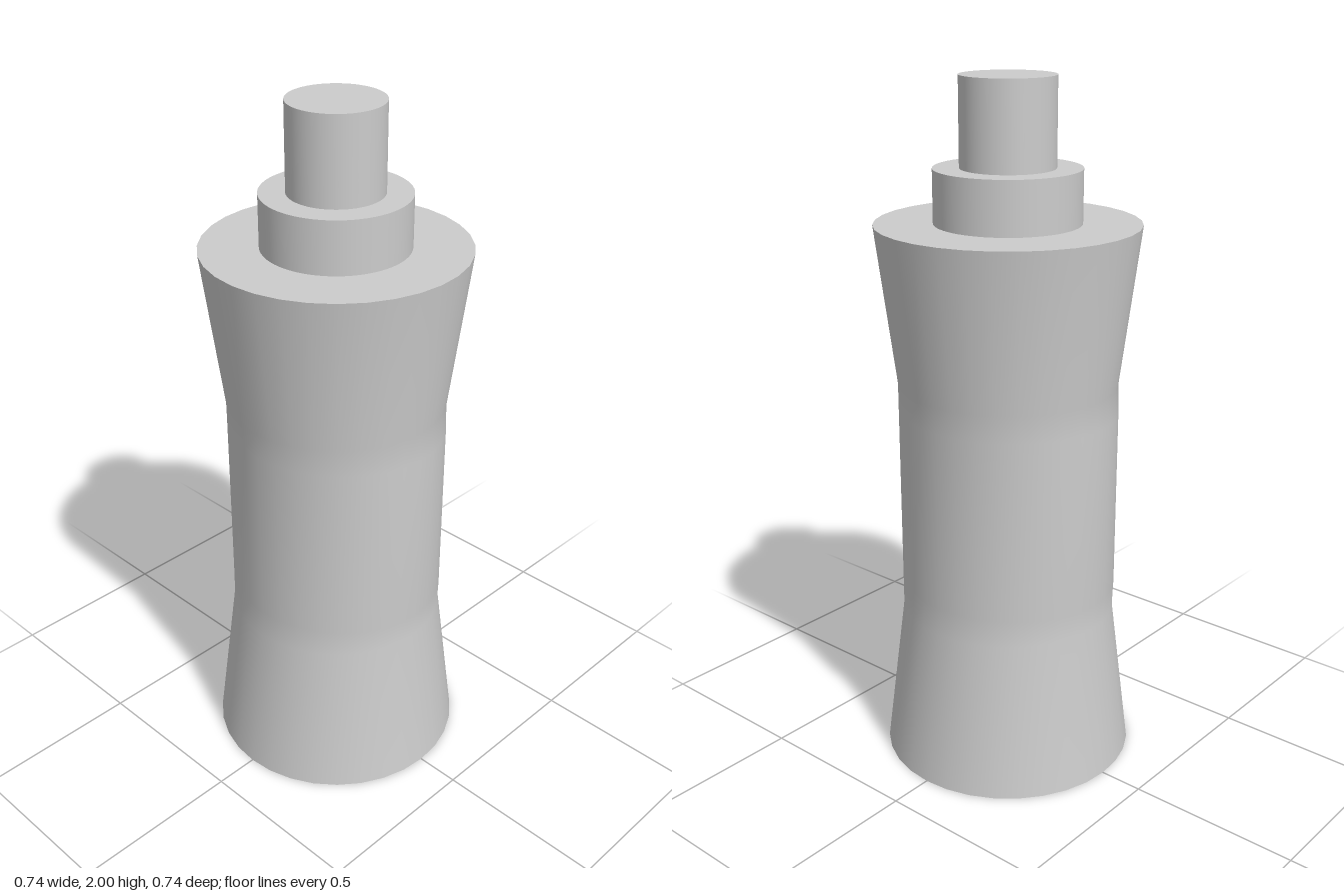
import * as THREE from 'three';
import { mergeVertices } from 'three/addons/utils/BufferGeometryUtils.js';

const material = new THREE.MeshStandardMaterial({ color: 0xcccccc });
const SIDES = 32;

function addMesh(parent, name, geometry, y = 0) {
  const mesh = new THREE.Mesh(geometry, material);
  mesh.name = name;
  mesh.position.y = y;
  parent.add(mesh);
  return mesh;
}

// Waisted wall: round at the ends, slightly oval in the grip section
function bodyWall(rings) {
  const rows = rings.length - 1;
  const g = new THREE.CylinderGeometry(1, 1, 1, SIDES, rows, true);
  const p = g.attributes.position;
  for (let i = 0; i < p.count; i++) {
    const row = Math.round((p.getY(i) + 0.5) * rows);
    const [y, rx, rz] = rings[row];
    p.setXYZ(i, p.getX(i) * rx, y, p.getZ(i) * rz);
  }
  // Weld the seam so the shading runs smoothly all the way round
  g.deleteAttribute('uv');
  g.deleteAttribute('normal');
  const welded = mergeVertices(g);
  welded.computeVertexNormals();
  return welded;
}

export function createModel() {
  const model = new THREE.Group();
  model.name = 'bottle';

  // Body rings from bottom to top: height, x radius, z radius
  const rings = [
    [0, 0.371, 0.371],
    [0.46, 0.311, 0.316],
    [0.54, 0.303, 0.324],
    [1.07, 0.303, 0.324],
    [1.15, 0.311, 0.316],
    [1.605, 0.371, 0.371],
  ];
  const body = new THREE.Group();
  body.name = 'body';
  addMesh(body, 'bodyWall', bodyWall(rings));
  const disc = new THREE.CircleGeometry(0.371, SIDES);
  addMesh(body, 'base', disc).rotation.x = Math.PI / 2;
  addMesh(body, 'shoulder', disc, 1.605).rotation.x = -Math.PI / 2;
  model.add(body);

  // Collar and spray nozzle
  addMesh(model, 'collar', new THREE.CylinderGeometry(0.206, 0.206, 0.15, 64), 1.68);
  addMesh(model, 'nozzle', new THREE.CylinderGeometry(0.133, 0.133, 0.245, 64), 1.8775);

  return model;
}
